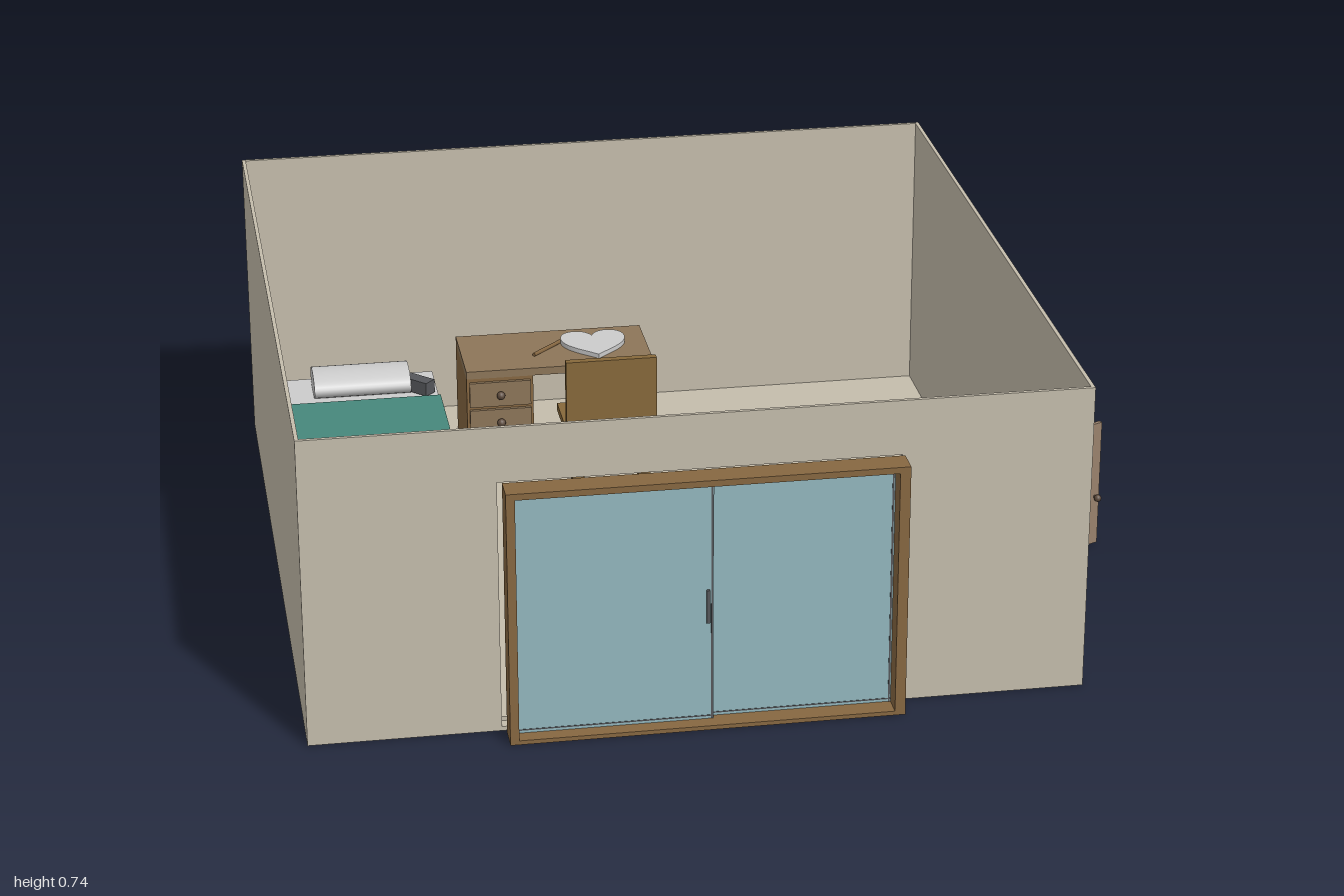
import * as THREE from 'three';

const mat = (color, side = THREE.FrontSide) => new THREE.MeshStandardMaterial({ color, side });
const M = {
  wall: mat(0xc4bcab), wood: mat(0x866741), glass: mat(0x92b6bd), green: mat(0x46877b), sheet: mat(0xcccccc),
  desk: mat(0x8c7558), chair: mat(0x86683a), door: mat(0x98816c), dark: mat(0x5c4a3c), metal: mat(0x55565a),
};

function add(parent, name, geo, material) {
  const m = new THREE.Mesh(geo, material);
  m.name = name;
  parent.add(m);
  return m;
}

// box given by its extents on each axis
function box(parent, name, material, x0, x1, y0, y1, z0, z1) {
  const m = add(parent, name, new THREE.BoxGeometry(x1 - x0, y1 - y0, z1 - z0), material);
  m.position.set((x0 + x1) / 2, (y0 + y1) / 2, (z0 + z1) / 2);
  return m;
}

function group(parent, name) {
  const g = new THREE.Group();
  g.name = name;
  parent.add(g);
  return g;
}

// flat plan (x, z) extruded upwards from y0 to y1
function slab(parent, name, material, plan, y0, y1) {
  const shape = new THREE.Shape(plan.map(([x, z]) => new THREE.Vector2(x, -z)));
  const geo = new THREE.ExtrudeGeometry(shape, { depth: y1 - y0, bevelEnabled: false });
  geo.rotateX(-Math.PI / 2).translate(0, y0, 0);
  return add(parent, name, geo, material);
}

const X0 = -1, X1 = 0.765, Z0 = -0.933, Z1 = 0.86, H = 0.737, T = 0.009;

function buildRoom(root) {
  const g = group(root, 'room');
  // floor, notched through at the doorway and stepped at the sliding door
  const notch = [[X1 - T, 0.23], [0.69, 0.23], [0.69, -0.04], [X1 - T, -0.04]];
  const back = [[X1 - T, Z0 + T], [X0 + T, Z0 + T]];
  slab(g, 'floorBase', M.wall, [[X0 + T, Z1 - T], [X1 - T, Z1 - T], ...notch, ...back], 0, 0.01);
  slab(g, 'floorTop', M.wall, [[X0 + T, Z1 - T], [-0.567, Z1 - T], [-0.567, 0.832], [0.332, 0.832],
    [0.332, Z1 - T], [X1 - T, Z1 - T], ...notch, ...back], 0.01, 0.02);
  box(g, 'backWall', M.wall, X0, X1, 0, H, Z0, Z0 + T);
  box(g, 'leftSideWall', M.wall, X0, X0 + T, 0, H, Z0 + T, Z1 - T);
  // front wall around the sliding door
  box(g, 'frontWall', M.wall, X0, -0.567, 0, H, Z1 - T, Z1);
  box(g, 'frontWall', M.wall, 0.332, X1, 0, H, Z1 - T, Z1);
  box(g, 'frontWallHeader', M.wall, -0.567, 0.332, 0.607, H, Z1 - T, Z1);
  box(g, 'frontWallSill', M.wall, -0.567, 0.332, 0, 0.01, Z1 - T, Z1);
  // side wall around the doorway
  box(g, 'doorSideWall', M.wall, X1 - T, X1, 0, H, Z0 + T, -0.04);
  box(g, 'doorSideWall', M.wall, X1 - T, X1, 0, H, 0.23, Z1 - T);
  box(g, 'doorHeader', M.wall, X1 - T, X1, 0.325, H, -0.04, 0.23);
}

function buildSlidingDoor(root) {
  const g = group(root, 'slidingDoor');
  const z0 = 0.871, z1 = 0.933;
  box(g, 'frameSide', M.wood, -0.557, -0.537, 0, 0.61, z0, z1);
  box(g, 'frameSide', M.wood, 0.312, 0.336, 0, 0.61, z0, z1);
  box(g, 'frameTop', M.wood, -0.537, 0.312, 0.595, 0.61, z0, z1);
  box(g, 'frameBottom', M.wood, -0.537, 0.312, 0, 0.01, z0, z1);
  // two overlapping leaves
  for (const [a, b, z] of [[-0.537, -0.095, 0.889], [-0.118, 0.312, 0.876]]) {
    box(g, 'glass', M.glass, a, b, 0.01, 0.595, z, z + 0.008);
    for (const x of [a, b - 0.006]) box(g, 'leafStile', M.metal, x, x + 0.004, 0.01, 0.595, z - 0.001, z + 0.009);
    box(g, 'leafRail', M.metal, a, b, 0.016, 0.019, z - 0.001, z + 0.009);
  }
  box(g, 'leafHandle', M.metal, -0.112, -0.104, 0.25, 0.33, 0.897, 0.903);
}

function buildDoor(root) {
  const g = group(root, 'door');
  g.position.set(0.768, 0, 0.232);
  g.rotation.y = Math.atan2(0.1, 0.222);
  const L = 0.243, t = 0.005;
  box(g, 'doorPanel', M.door, 0, L, 0.004, 0.325, -t, t);
  // strip laid on a face from point a to point b
  const strip = (a, b, z) => {
    const dx = b[0] - a[0], dy = b[1] - a[1];
    const m = add(g, 'carving', new THREE.BoxGeometry(Math.hypot(dx, dy), 0.0045, 0.004), M.dark);
    m.position.set((a[0] + b[0]) / 2, (a[1] + b[1]) / 2, z);
    m.rotation.z = Math.atan2(dy, dx);
  };
  const u0 = 0.033, u1 = 0.207;
  for (const z of [-t, t]) {
    for (const [v0, v1] of [[0.018, 0.118], [0.142, 0.312]]) {
      strip([u0, v0], [u1, v0], z);
      strip([u0, v1], [u1, v1], z);
      strip([u0, v0], [u0, v1], z);
      strip([u1, v0], [u1, v1], z);
    }
    // crossed lower panel
    strip([u0, 0.018], [u1, 0.118], z);
    strip([u0, 0.118], [u1, 0.018], z);
    // lattice upper panel
    const n = 4, du = (u1 - u0) / n, dv = 0.17 / n;
    for (let i = 0; i < n; i++) for (let j = 0; j < n; j++) {
      const u = u0 + i * du, v = 0.142 + j * dv;
      if ((i + j) % 2) strip([u, v], [u + du, v + dv], z);
      else strip([u, v + dv], [u + du, v], z);
      const ring = add(g, 'carving', new THREE.TorusGeometry(0.012, 0.002, 4, 10), M.dark);
      ring.position.set(u + du / 2, v + dv / 2, z);
    }
    // knob on each face
    const s = Math.sign(z);
    const stem = add(g, 'knobStem', new THREE.CylinderGeometry(0.004, 0.004, 0.012, 10), M.dark);
    stem.rotation.x = Math.PI / 2;
    stem.position.set(0.23, 0.13, s * 0.009);
    add(g, 'knob', new THREE.SphereGeometry(0.009, 12, 8), M.dark).position.set(0.23, 0.13, s * 0.017);
  }
}

function buildBed(root) {
  const g = group(root, 'bed');
  box(g, 'bedFrame', M.wood, -0.93, -0.543, 0.02, 0.09, -0.788, -0.086);
  box(g, 'mattress', M.sheet, -0.93, -0.543, 0.09, 0.18, -0.79, -0.086);
  box(g, 'blanket', M.green, -0.934, -0.539, 0.088, 0.187, -0.617, -0.082);
  const pillow = add(g, 'pillow', new THREE.CylinderGeometry(0.072, 0.072, 0.246, 32), M.sheet);
  pillow.rotation.z = Math.PI / 2;
  pillow.scale.x = 0.45;
  pillow.position.set(-0.735, 0.205, -0.706);
  const handset = add(g, 'handset', new THREE.BoxGeometry(0.08, 0.035, 0.035), M.metal);
  handset.position.set(-0.592, 0.202, -0.658);
  handset.rotation.y = -Math.PI / 4;
}

function buildDesk(root) {
  const g = group(root, 'desk');
  const z0 = -0.783, z1 = -0.543;
  box(g, 'deskTop', M.desk, -0.48, 0, 0.255, 0.275, z0, z1);
  box(g, 'deskSide', M.wood, -0.02, 0, 0.02, 0.255, z0, z1);
  box(g, 'drawerCabinet', M.wood, -0.48, -0.31, 0.02, 0.255, z0, z1);
  for (let i = 0; i < 3; i++) {
    const y = 0.03 + i * 0.075;
    box(g, 'drawerFront', M.desk, -0.473, -0.317, y, y + 0.066, z1, z1 + 0.009);
    add(g, 'drawerKnob', new THREE.SphereGeometry(0.011, 12, 8), M.dark).position.set(-0.395, y + 0.033, -0.524);
  }
  // pencil
  const pencil = add(g, 'pencil', new THREE.CylinderGeometry(0.005, 0.005, 0.11, 6), M.wood);
  pencil.rotation.set(0, Math.PI / 4, Math.PI / 2);
  pencil.position.set(-0.259, 0.28, -0.657);
  // heart plaque lying on the top, point towards the front
  const h = new THREE.Shape();
  h.moveTo(0, -0.08);
  h.bezierCurveTo(0.035, -0.045, 0.083, -0.015, 0.083, 0.035);
  h.bezierCurveTo(0.083, 0.09, 0.018, 0.098, 0, 0.05);
  h.bezierCurveTo(-0.018, 0.098, -0.083, 0.09, -0.083, 0.035);
  h.bezierCurveTo(-0.083, -0.015, -0.035, -0.045, 0, -0.08);
  const heart = add(g, 'heartPlaque', new THREE.ExtrudeGeometry(h, { depth: 0.012, bevelEnabled: false }), M.sheet);
  heart.rotation.x = -Math.PI / 2;
  heart.position.set(-0.136, 0.275, -0.658);
}

function buildChair(root) {
  const g = group(root, 'chair');
  const x0 = -0.253, x1 = -0.025, z0 = -0.519, z1 = -0.337;
  box(g, 'seat', M.chair, x0, x1, 0.165, 0.185, z0, z1);
  box(g, 'backrest', M.chair, x0, x1, 0.185, 0.37, z1 - 0.02, z1);
  for (const x of [x0 + 0.015, x1 - 0.045]) for (const z of [z0 + 0.015, z1 - 0.045])
    box(g, 'chairLeg', M.chair, x, x + 0.03, 0.02, 0.165, z, z + 0.03);
}

export function createModel() {
  const root = new THREE.Group();
  root.name = 'bedroom';
  buildRoom(root);
  buildSlidingDoor(root);
  buildDoor(root);
  buildBed(root);
  buildDesk(root);
  buildChair(root);
  return root;
}
